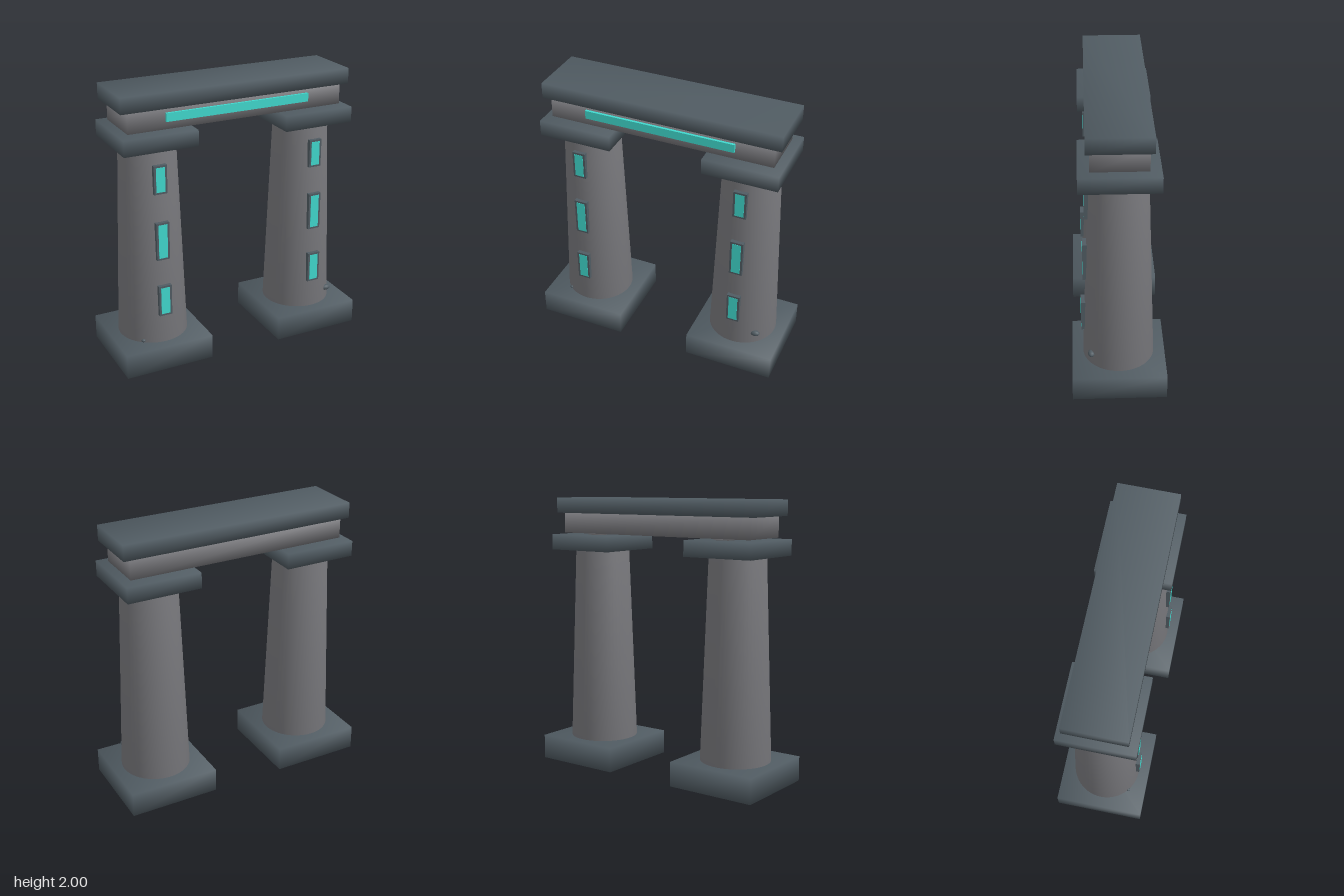
import * as THREE from 'three';
import { mergeVertices } from 'three/addons/utils/BufferGeometryUtils.js';

const mat = (name, color) => {
  const m = new THREE.MeshStandardMaterial({ color });
  m.name = name;
  return m;
};

// Weld shared corners so shading runs softly over the edges
function soften(geometry) {
  geometry.deleteAttribute('normal');
  geometry.deleteAttribute('uv');
  const welded = mergeVertices(geometry, 1e-4);
  welded.computeVertexNormals();
  return welded;
}

export function createModel() {
  const stone = mat('grey stone', 0x77777b);
  const slate = mat('dark slate', 0x505b62);
  const glow = mat('turquoise glow', 0x40d8cd);
  const model = new THREE.Group();
  model.name = 'gateway';

  function add(parent, name, geometry, material, x, y, z) {
    const mesh = new THREE.Mesh(geometry, material);
    mesh.name = name;
    mesh.position.set(x, y, z);
    parent.add(mesh);
    return mesh;
  }
  // Slab spanning heights y0 to y1
  const slab = (parent, name, material, w, d, y0, y1) =>
    add(parent, name, soften(new THREE.BoxGeometry(w, y1 - y0, d)), material, 0, (y0 + y1) / 2, 0);

  // Tapered shaft dimensions
  const bottomY = 0.18, topY = 1.615, bottomR = 0.252, topR = 0.2;
  const radiusAt = (y) => THREE.MathUtils.lerp(bottomR, topR, (y - bottomY) / (topY - bottomY));
  const windows = [[0.395, 0.625], [0.82, 1.097], [1.302, 1.507]];

  for (const side of [-1, 1]) {
    const pillar = new THREE.Group();
    pillar.name = side > 0 ? 'leftPillar' : 'rightPillar';
    pillar.position.x = side * 0.605;
    model.add(pillar);

    slab(pillar, 'plinth', slate, 0.66, 0.66, 0, bottomY);
    add(pillar, 'shaft', soften(new THREE.CylinderGeometry(topR, bottomR, topY - bottomY, 48)),
      stone, 0, (bottomY + topY) / 2, 0);
    slab(pillar, 'capital', slate, 0.535, 0.535, topY, 1.728);
    slab(pillar, 'neck', stone, 0.12, 0.29, 1.725, 1.745).position.x = -side * 0.045;

    // Framed glowing slots on the front of the shaft
    for (const [y0, y1] of windows) {
      const y = (y0 + y1) / 2, h = y1 - y0, front = radiusAt(y) + 0.022;
      add(pillar, 'windowFrame', new THREE.BoxGeometry(0.096, h, 0.04), slate, 0, y, front - 0.02);
      add(pillar, 'windowPane', new THREE.BoxGeometry(0.066, h - 0.028, 0.006), glow, 0, y, front - 0.001);
    }
  }

  // Small pebbles lodged at the foot of the shafts
  const pebble = new THREE.SphereGeometry(1, 12, 8);
  add(model, 'leftPebble', pebble, slate, 0.765, 0.27, 0.195).scale.set(0.036, 0.022, 0.024);
  add(model, 'rightPebble', pebble, slate, -0.758, 0.195, 0.2).scale.set(0.016, 0.012, 0.014);

  // Lintel, its light strip, and the roof slab
  slab(model, 'lintel', stone, 1.625, 0.38, 1.74, 1.89);
  add(model, 'lightStrip', new THREE.BoxGeometry(1.085, 0.06, 0.025), glow, 0, 1.825, 0.196);
  slab(model, 'roofSlab', slate, 1.73, 0.433, 1.888, 2);

  return model;
}
